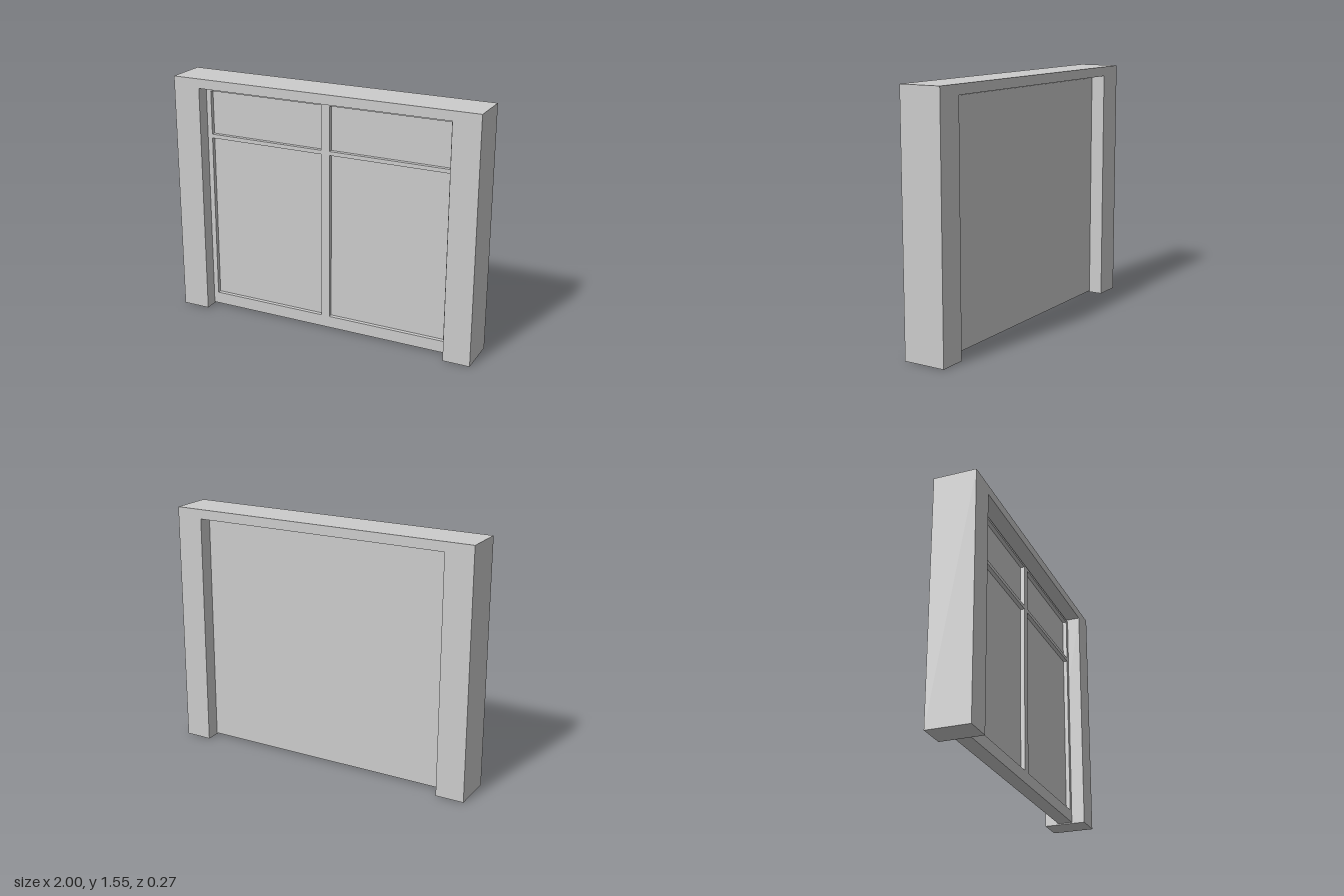
import * as THREE from 'three';

const material = new THREE.MeshStandardMaterial({ color: 0xcccccc, flatShading: true });

// Outline through a list of [x, y] corners
const points = (corners) => corners.map(([x, y]) => new THREE.Vector2(x, y));
const rect = (x0, x1, y0, y1) => points([[x0, y0], [x1, y0], [x1, y1], [x0, y1]]);

// Straight extrusion of a shape between two depths
function slab(name, shape, z0, z1) {
  const geometry = new THREE.ExtrudeGeometry(shape, { depth: z1 - z0, bevelEnabled: false });
  geometry.translate(0, 0, z0);
  const mesh = new THREE.Mesh(geometry, material);
  mesh.name = name;
  return mesh;
}

export function createModel() {
  const group = new THREE.Group();
  group.name = 'panelledDoorway';

  const left = -0.822, right = 0.829; // opening
  const lintel = 1.487, top = 1.547, depth = 0.133;
  const doorBottom = 0.007, doorTop = 1.472;
  const doorBack = -0.043, recess = 0.023, doorFront = 0.049;

  // Surround: two posts joined by a lintel
  const surround = new THREE.Shape(points([
    [-1, 0], [left, 0], [left, lintel], [right, lintel],
    [right, 0], [1, 0], [1, top], [-1, top],
  ]));
  group.add(slab('surround', surround, -depth, depth));

  // Door core: plain back, and the floor of the recessed panels
  const outline = rect(left, right, doorBottom, doorTop);
  group.add(slab('doorCore', new THREE.Shape(outline), doorBack, recess));

  // Door rails and stiles with four panel openings
  const lattice = new THREE.Shape(outline);
  for (const [x0, x1] of [[-0.79, -0.025], [0.032, 0.798]]) {
    for (const [y0, y1] of [[0.083, 1.152], [1.177, 1.456]]) {
      lattice.holes.push(new THREE.Path(rect(x0, x1, y0, y1)));
    }
  }
  group.add(slab('doorRailsAndStiles', lattice, recess, doorFront));

  return group;
}
